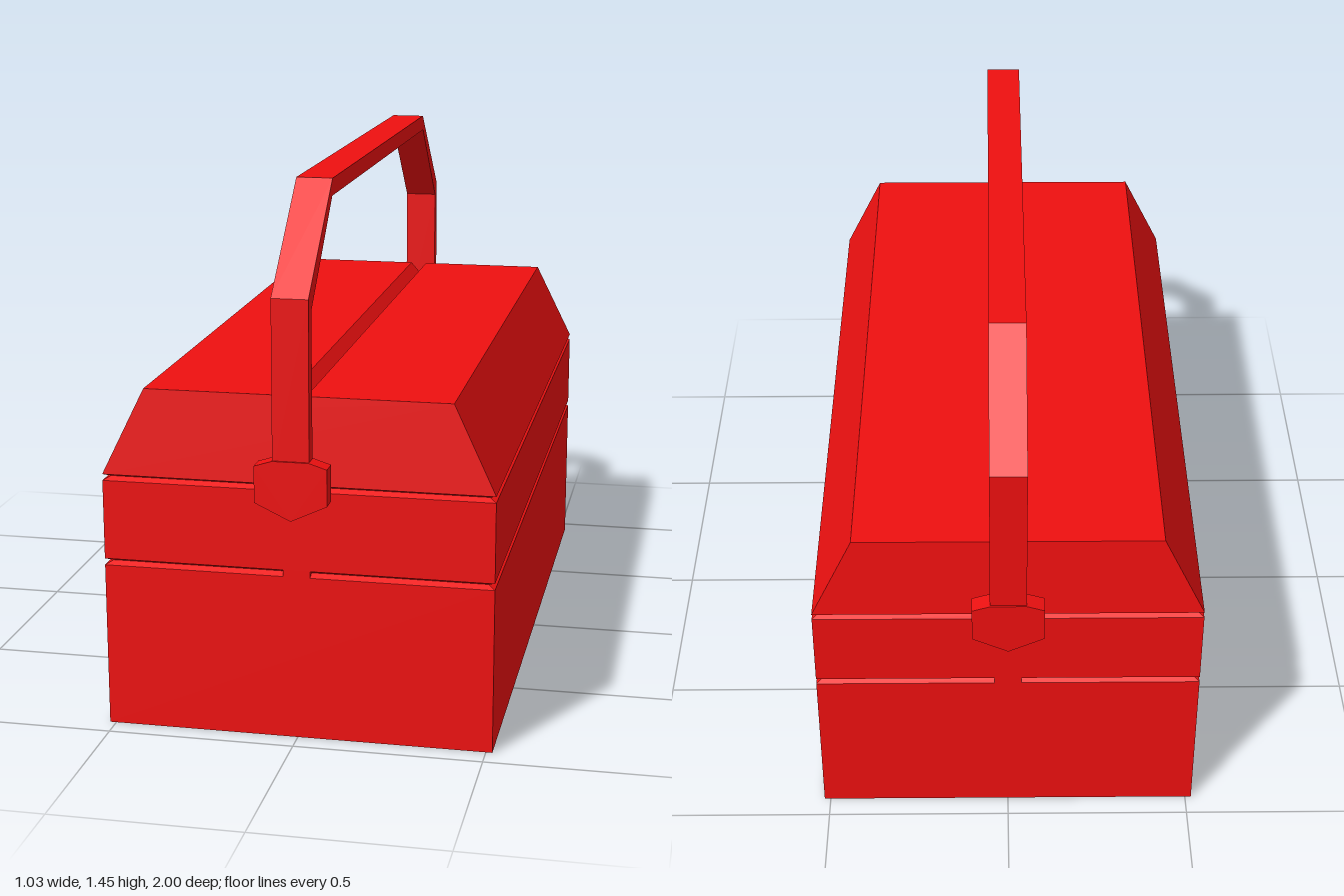
import * as THREE from 'three';

const red = new THREE.MeshStandardMaterial({ color: 0xee1010, flatShading: true });

function add(parent, name, geometry) {
  const mesh = new THREE.Mesh(geometry, red);
  mesh.name = name;
  parent.add(mesh);
  return mesh;
}

function extrude(points, depth) {
  const shape = new THREE.Shape(points.map(([x, y]) => new THREE.Vector2(x, y)));
  return new THREE.ExtrudeGeometry(shape, { depth, bevelEnabled: false }).translate(0, 0, -depth / 2);
}

// Closed solid from stacked rectangles [halfX, halfZ, y], bottom to top
function rectStack(rings) {
  const pos = [], index = [];
  for (const [x, z, y] of rings) pos.push(-x, y, z, x, y, z, x, y, -z, -x, y, -z);
  for (let r = 0; r < rings.length - 1; r++) {
    for (let k = 0; k < 4; k++) {
      const a = r * 4 + k, b = r * 4 + (k + 1) % 4;
      index.push(a, b, b + 4, a, b + 4, a + 4);
    }
  }
  const t = (rings.length - 1) * 4;
  index.push(0, 2, 1, 0, 3, 2, t, t + 1, t + 2, t, t + 2, t + 3);
  const g = new THREE.BufferGeometry();
  g.setAttribute('position', new THREE.Float32BufferAttribute(pos, 3));
  g.setIndex(index);
  const flat = g.toNonIndexed();
  flat.computeVertexNormals();
  return flat;
}

export function createModel() {
  const model = new THREE.Group();
  model.name = 'toolbox';
  const X = 0.517, Z = 0.94, D = 0.018;

  // Body with two V grooves separating base, tray and lid
  add(model, 'body', rectStack([
    [X, Z, 0], [X, Z, 0.445], [X - D, Z - D, 0.454], [X, Z, 0.463],
    [X, Z, 0.677], [X - D, Z - D, 0.686], [X, Z, 0.694],
  ]));

  // Lid: sloped sides, a centre groove, ends leaning in slightly
  const lid = extrude([
    [-X, 0.694], [X, 0.694], [0.405, 0.925], [0.025, 0.925],
    [0, 0.895], [-0.025, 0.925], [-0.405, 0.925],
  ], 2 * Z);
  const p = lid.attributes.position;
  for (let i = 0; i < p.count; i++) {
    const lean = 0.018 * (p.getY(i) - 0.694) / 0.231;
    p.setZ(i, Math.sign(p.getZ(i)) * (Z - lean));
  }
  lid.computeVertexNormals();
  add(model, 'lid', lid);

  // Angular carrying handle, outlined in the z-y plane
  const outer = [[0.995, 0.74], [0.99, 1.19], [0.697, 1.45]];
  const inner = [[0.955, 0.74], [0.957, 1.155], [0.702, 1.405]];
  const mirror = (list) => list.map(([z, y]) => [-z, y]);
  const outline = [
    ...outer, ...mirror(outer).reverse(),
    ...mirror(inner), ...inner.slice().reverse(),
  ];
  add(model, 'handle', extrude(outline, 0.096).rotateY(-Math.PI / 2));

  // Details on each end
  for (const side of [1, -1]) {
    const end = new THREE.Group();
    end.name = side > 0 ? 'frontEnd' : 'backEnd';
    end.rotation.y = side > 0 ? 0 : Math.PI;
    model.add(end);

    // Pointed bracket holding the handle
    const bracket = extrude([
      [0, 0.615], [0.095, 0.66], [0.095, 0.757], [0.048, 0.772],
      [-0.048, 0.772], [-0.095, 0.757], [-0.095, 0.66],
    ], 0.05).translate(0, 0, 0.975);
    add(end, 'handleBracket', bracket);

    // Pivot pin between bracket and body
    const pin = new THREE.CylinderGeometry(0.03, 0.03, 0.05, 8).rotateX(Math.PI / 2);
    add(end, 'pivotPin', pin).position.set(0, 0.71, 0.94);

    // Bridge interrupting the lower groove
    add(end, 'grooveBridge', new THREE.BoxGeometry(0.072, 0.018, D + 0.004))
      .position.set(0, 0.454, Z - (D + 0.004) / 2);
  }
  return model;
}
